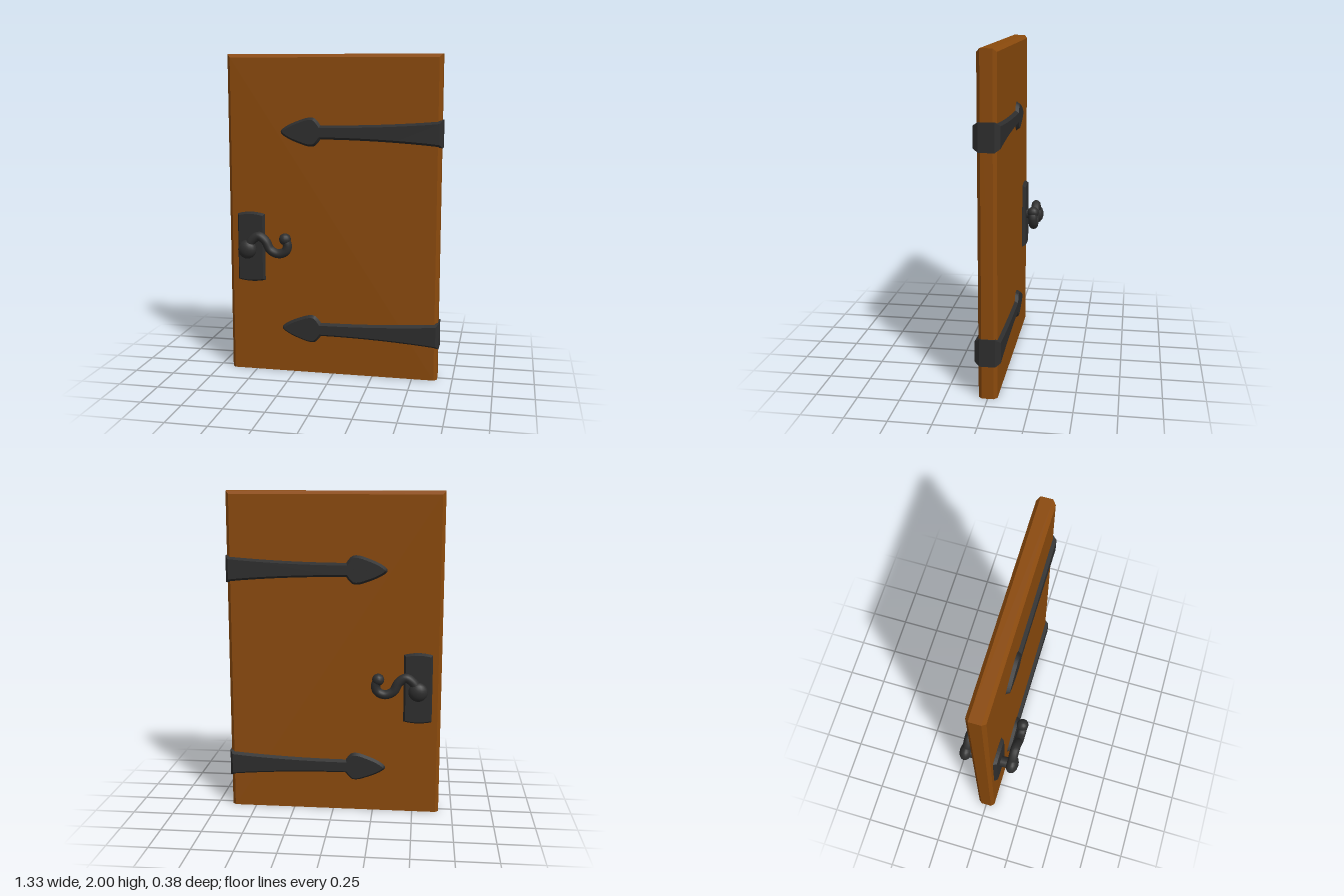
import * as THREE from 'three';
import { ConvexGeometry } from 'three/addons/geometries/ConvexGeometry.js';

const wood = new THREE.MeshStandardMaterial({ color: 0x8b4a0c });
wood.name = 'wood';
wood.flatShading = true;
const iron = new THREE.MeshStandardMaterial({ color: 0x2e2e2e });
iron.name = 'iron';

function addPart(parent, name, geometry, material) {
  const mesh = new THREE.Mesh(geometry, material);
  mesh.name = name;
  parent.add(mesh);
  return mesh;
}

// Bevelled slab running right through the door, so it shows on both faces
function throughSlab(shape, half, bevelThickness, bevelSize) {
  const depth = 2 * (half - bevelThickness);
  const geometry = new THREE.ExtrudeGeometry(shape, {
    depth, bevelThickness, bevelSize, bevelOffset: -bevelSize, bevelSegments: 1, curveSegments: 8,
  });
  return geometry.translate(0, 0, -depth / 2);
}

// Door panel: chamfered upright edges and chamfered top
function doorGeometry() {
  const x0 = -0.667, x1 = 0.656, c = 0.02, z = 0.055;
  const points = [];
  for (const s of [-1, 1]) {
    for (const [x, inner] of [[x0, x0 + c], [x1, x1 - c]]) {
      points.push(
        new THREE.Vector3(x, 0, s * (z - c)), new THREE.Vector3(inner, 0, s * z),
        new THREE.Vector3(x, 2, s * (z - c)), new THREE.Vector3(inner, 2 - c, s * z),
      );
    }
  }
  return new ConvexGeometry(points);
}

// Strap hinge outline: flared band ending in a spearhead
function strapShape() {
  const s = new THREE.Shape();
  s.moveTo(0.664, -0.082);
  s.lineTo(0.664, 0.084);
  s.quadraticCurveTo(0.3, 0.052, -0.075, 0.052);
  s.quadraticCurveTo(-0.1, 0.09, -0.118, 0.096);
  s.quadraticCurveTo(-0.15, 0.105, -0.2, 0.085);
  s.quadraticCurveTo(-0.29, 0.055, -0.325, 0.022);
  s.quadraticCurveTo(-0.343, 0.003, -0.325, -0.016);
  s.quadraticCurveTo(-0.29, -0.047, -0.2, -0.077);
  s.quadraticCurveTo(-0.15, -0.097, -0.118, -0.088);
  s.quadraticCurveTo(-0.1, -0.082, -0.075, -0.046);
  s.quadraticCurveTo(0.3, -0.046, 0.664, -0.082);
  return s;
}

// Lock plate outline with bowed ends
function plateShape() {
  const s = new THREE.Shape();
  s.moveTo(-0.612, 0.592);
  s.quadraticCurveTo(-0.524, 0.57, -0.436, 0.592);
  s.lineTo(-0.436, 1.015);
  s.quadraticCurveTo(-0.524, 1.04, -0.612, 1.015);
  s.lineTo(-0.612, 0.592);
  return s;
}

// Lever handle for one face; side is 1 for the front, -1 for the back
function makeHandle(side) {
  const handle = new THREE.Group();
  handle.name = side > 0 ? 'frontHandle' : 'backHandle';
  const z = side * 0.147;

  const spindle = addPart(handle, 'spindle', new THREE.CylinderGeometry(0.034, 0.034, 0.08, 16), iron);
  spindle.rotation.x = Math.PI / 2;
  spindle.position.set(-0.525, 0.805, side * 0.1);

  const knob = addPart(handle, 'knob', new THREE.SphereGeometry(0.059, 16, 12), iron);
  knob.scale.z = 0.68;
  knob.position.set(-0.525, 0.805, side * 0.15);

  const path = new THREE.CatmullRomCurve3([
    [-0.53, 0.8], [-0.495, 0.862], [-0.45, 0.89], [-0.408, 0.862],
    [-0.375, 0.805], [-0.325, 0.784], [-0.28, 0.802], [-0.268, 0.84], [-0.283, 0.875],
  ].map(([x, y]) => new THREE.Vector3(x, y, z)));
  addPart(handle, 'lever', new THREE.TubeGeometry(path, 40, 0.029, 12), iron);

  const tip = addPart(handle, 'leverTip', new THREE.SphereGeometry(0.037, 14, 10), iron);
  tip.position.set(-0.283, 0.877, z);
  return handle;
}

export function createModel() {
  const model = new THREE.Group();
  model.name = 'door';
  addPart(model, 'doorPanel', doorGeometry(), wood);

  const strap = throughSlab(strapShape(), 0.076, 0.03, 0.02);
  addPart(model, 'upperHinge', strap, iron).position.y = 1.527;
  addPart(model, 'lowerHinge', strap, iron).position.y = 0.284;

  addPart(model, 'lockPlate', throughSlab(plateShape(), 0.077, 0.02, 0.012), iron);
  for (const side of [1, -1]) model.add(makeHandle(side));
  return model;
}
